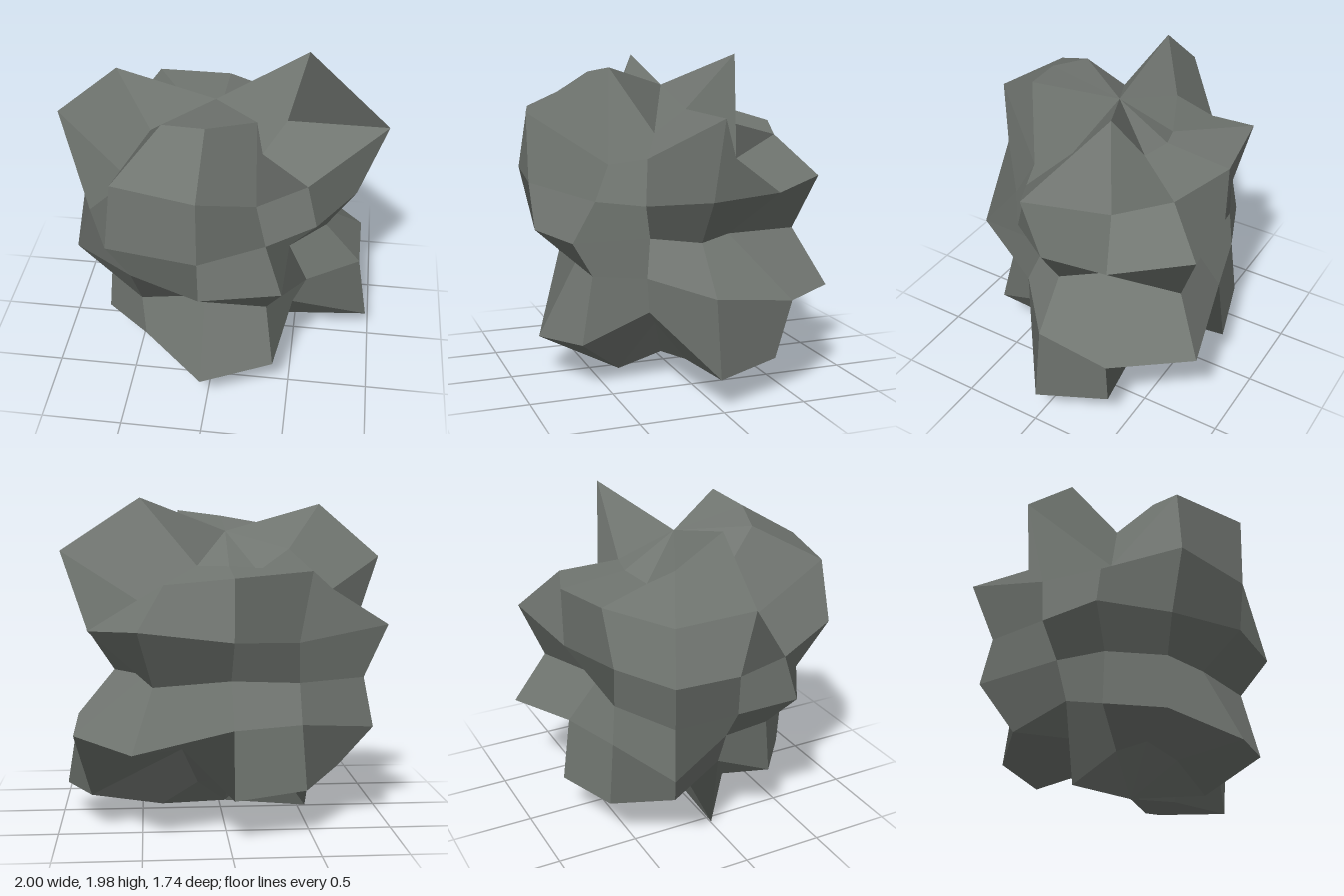
import * as THREE from 'three';

// Spread of the rock from its axis: one row per ring from top to bottom,
// one column per 30 degrees, starting at -x and turning through the front (+z)
const SPREAD = [
  [0.59, 0.42, 0.52, 0.546, 0.567, 0.342, 0.428, 0.612, 0.38, 0.38, 0.36, 0.435],
  [0.973, 0.57, 0.988, 0.993, 0.582, 0.67, 1.03, 0.635, 0.793, 0.856, 0.906, 0.726],
  [0.825, 0.835, 1.063, 0.985, 0.72, 0.745, 0.873, 0.975, 1.1, 0.85, 0.785, 1.085],
  [0.81, 0.93, 0.86, 0.948, 0.947, 0.56, 0.7, 0.58, 0.928, 0.59, 0.79, 0.935],
  [0.68, 0.72, 0.765, 0.635, 0.755, 0.697, 0.93, 1.08, 1.17, 0.84, 0.82, 1.0],
  [0.59, 0.752, 0.745, 0.934, 0.865, 0.603, 1.003, 0.962, 0.58, 0.9, 0.87, 0.775],
  [0.52, 0.4, 0.35, 0.4, 0.49, 0.33, 0.445, 0.47, 0.38, 0.36, 0.3, 0.31],
];
const SIDES = 12, RINGS = 8, POLE = 1.195;
const CENTRE = new THREE.Vector3(-0.03, 0.912, 0.006);
const SQUASH = new THREE.Vector3(1, 0.725, 0.865);

// Corner of the rock: a sphere point pushed in or out along its own ray
function corner(ring, side) {
  const tilt = (ring / RINGS) * Math.PI;
  const turn = (side / SIDES) * Math.PI * 2;
  const row = SPREAD[ring - 1];
  const r = row ? row[side % SIDES] / Math.sin(tilt) : POLE;
  return new THREE.Vector3(-Math.cos(turn) * Math.sin(tilt), Math.cos(tilt), Math.sin(turn) * Math.sin(tilt))
    .multiplyScalar(r).multiply(SQUASH).add(CENTRE);
}

const cross = (p, q, r, s) =>
  new THREE.Vector3().subVectors(q, p).cross(new THREE.Vector3().subVectors(s, r));

// True when splitting the patch from a to c would fold it back on itself
const folds = (a, b, c, d) => cross(a, b, a, c).dot(cross(a, d, a, c)) > 0;

function rockGeometry() {
  const positions = [], normals = [];

  // One flat-shaded facet of three or four corners, fanned from the first
  const addFacet = (...p) => {
    const n = cross(p[0], p[2], p[1], p[3 % p.length]).normalize();
    for (let k = 1; k < p.length - 1; k++) {
      for (const v of [p[0], p[k], p[k + 1]]) {
        positions.push(v.x, v.y, v.z);
        normals.push(n.x, n.y, n.z);
      }
    }
  };

  for (let ring = 0; ring < RINGS; ring++) {
    for (let side = 0; side < SIDES; side++) {
      const a = corner(ring, side), b = corner(ring + 1, side);
      const c = corner(ring + 1, side + 1), d = corner(ring, side + 1);
      if (ring === 0) addFacet(a, b, c);
      else if (ring === RINGS - 1) addFacet(a, b, d);
      else if (folds(a, b, c, d)) addFacet(b, c, d, a);
      else addFacet(a, b, c, d);
    }
  }

  const geo = new THREE.BufferGeometry();
  geo.setAttribute('position', new THREE.Float32BufferAttribute(positions, 3));
  geo.setAttribute('normal', new THREE.Float32BufferAttribute(normals, 3));
  return geo;
}

export function createModel() {
  const group = new THREE.Group();
  group.name = 'rock';
  const stone = new THREE.MeshStandardMaterial({ color: 0x707570 });
  const boulder = new THREE.Mesh(rockGeometry(), stone);
  boulder.name = 'boulder';
  group.add(boulder);
  return group;
}
